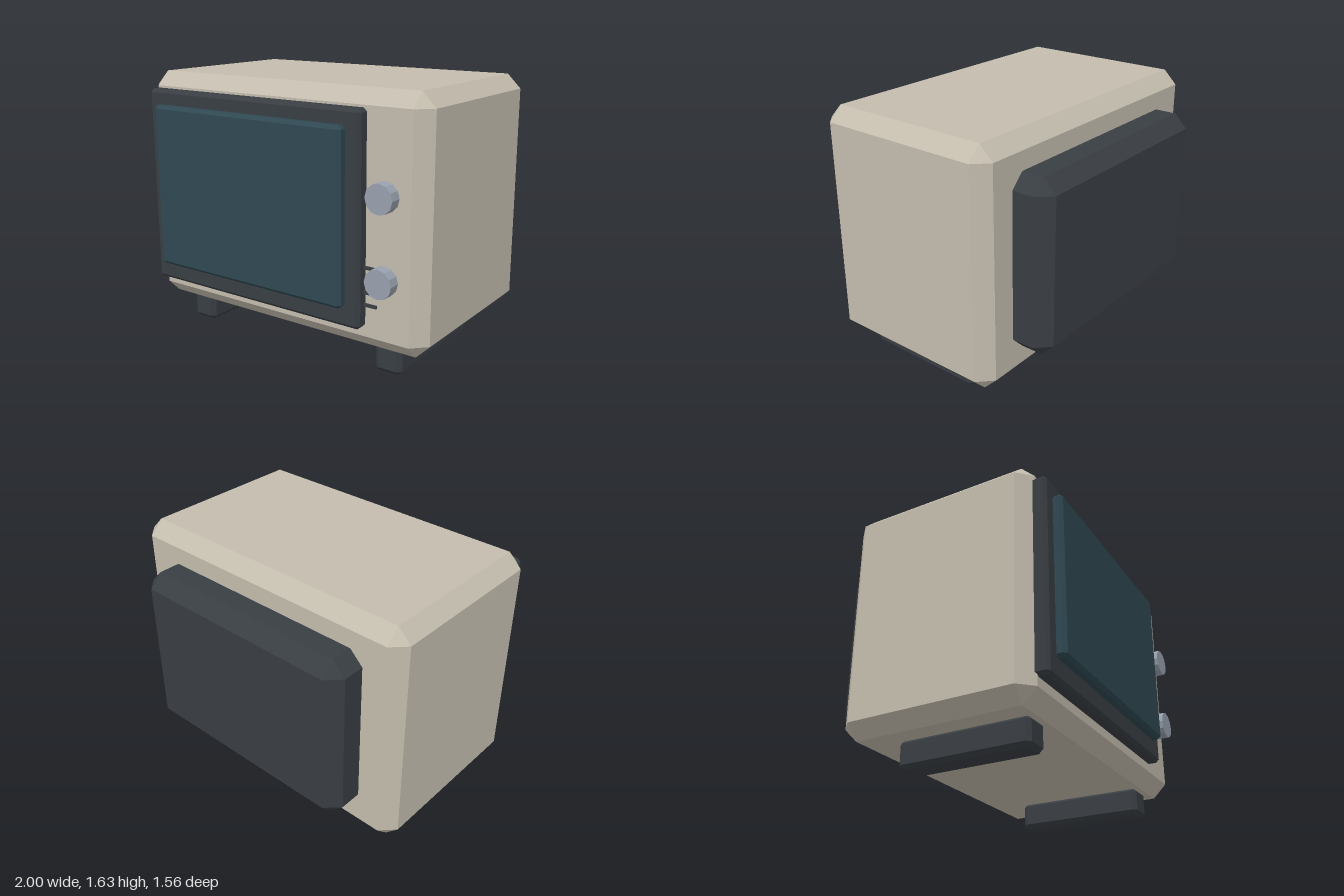
import * as THREE from 'three';
import { ConvexGeometry } from 'three/addons/geometries/ConvexGeometry.js';

const paint = (color) => new THREE.MeshStandardMaterial({ color, flatShading: true });

// Box between two corners with every edge cut at 45 degrees by c
function chamferBox(min, max, c) {
  const centre = min.map((v, i) => (v + max[i]) / 2);
  const half = min.map((v, i) => (max[i] - v) / 2);
  const points = [];
  for (const sx of [-1, 1]) for (const sy of [-1, 1]) for (const sz of [-1, 1]) {
    const s = [sx, sy, sz];
    // each corner becomes three points, one on each adjoining face
    for (let face = 0; face < 3; face++) {
      points.push(new THREE.Vector3(...s.map((v, i) => v * (half[i] - (i === face ? 0 : c)))));
    }
  }
  return new ConvexGeometry(points).translate(...centre);
}

export function createModel() {
  const group = new THREE.Group();
  const shell = paint(0xc4bdae);
  const dark = paint(0x393e43);
  const glass = paint(0x2f4852);
  const metal = paint(0x98a1ae);

  const add = (name, geometry, material) => {
    const mesh = new THREE.Mesh(geometry, material);
    mesh.name = name;
    group.add(mesh);
    return mesh;
  };

  // Cabinet and rear tube housing
  add('cabinet', chamferBox([-1, 0.165, -0.56], [1, 1.627, 0.655], 0.085), shell);
  add('rearHousing', chamferBox([-0.765, 0.36, -0.78], [0.765, 1.43, -0.4], 0.083), dark);

  // Screen frame and glass
  add('screenFrame', chamferBox([-0.925, 0.305, 0.61], [0.638, 1.528, 0.725], 0.02), dark);
  add('screen', chamferBox([-0.838, 0.425, 0.68], [0.547, 1.438, 0.78], 0.02), glass);

  // Runner feet
  for (const side of [-1, 1]) {
    const x = side * 0.714;
    add(side > 0 ? 'leftFoot' : 'rightFoot',
      chamferBox([x - 0.088, 0, -0.274], [x + 0.088, 0.175, 0.546], 0.026), dark);
  }

  // Control knobs
  [1.075, 0.61].forEach((y, i) => {
    const knob = new THREE.CylinderGeometry(0.085, 0.085, 0.072, 12).rotateX(Math.PI / 2);
    add(i ? 'lowerKnob' : 'upperKnob', knob, metal).position.set(0.771, y, 0.711);
  });

  // Speaker slats
  for (let i = 0; i < 4; i++) {
    add('speakerSlat' + (i + 1), new THREE.BoxGeometry(0.14, 0.018, 0.012), dark)
      .position.set(0.65, 0.445 + i * 0.0715, 0.67);
  }

  return group;
}
